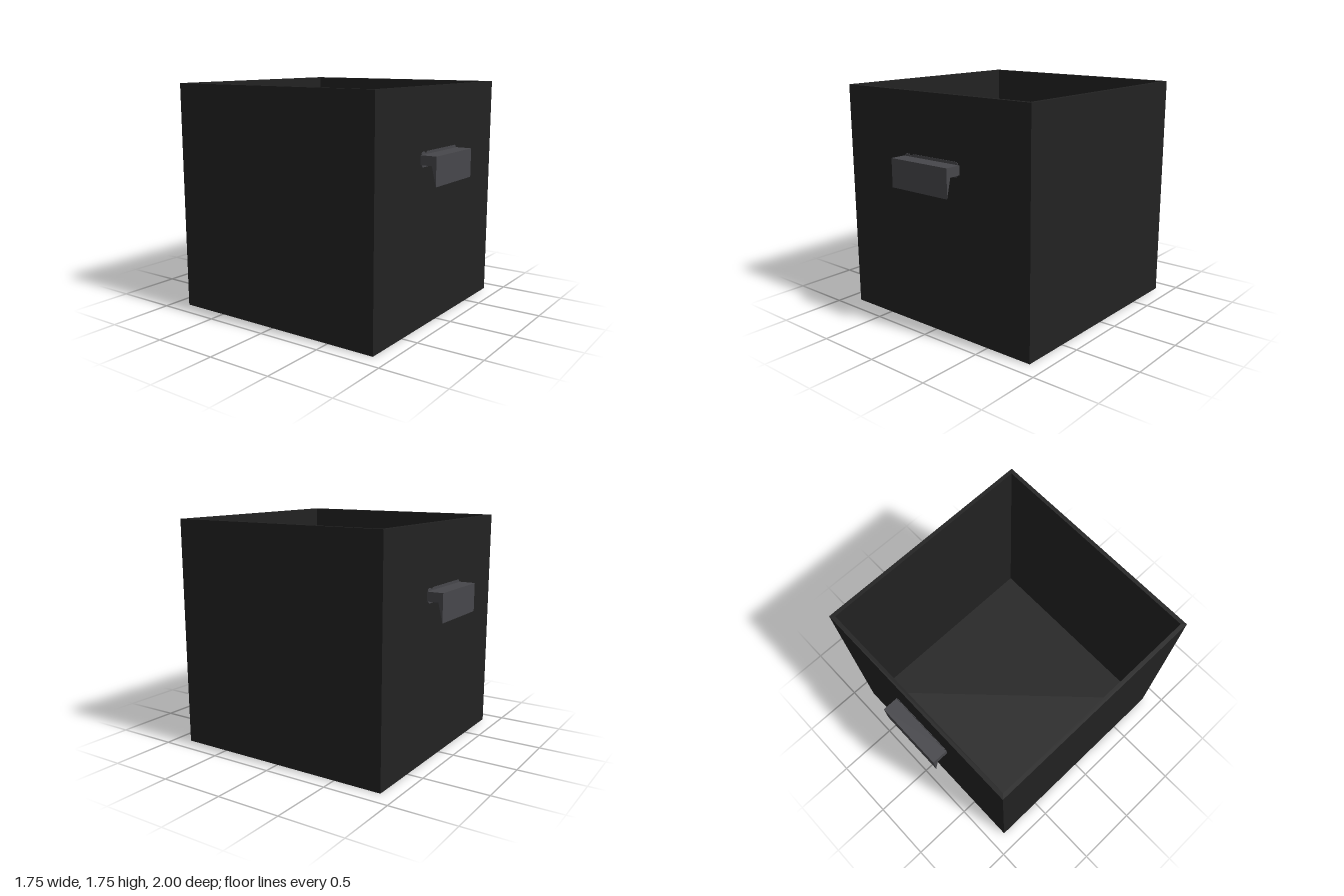
import * as THREE from 'three';

const HALF = 0.875, HEIGHT = 1.755, WALL = 0.03;

function polygon(points) {
  return new THREE.Shape(points.map(([x, y]) => new THREE.Vector2(x, y)));
}

function extrude(shape, depth) {
  return new THREE.ExtrudeGeometry(shape, { depth, bevelEnabled: false });
}

function square(h) {
  return [[-h, -h], [h, -h], [h, h], [-h, h]];
}

export function createModel() {
  const model = new THREE.Group();
  model.name = 'storageBin';

  const binMaterial = new THREE.MeshStandardMaterial({ color: 0x222222 });
  binMaterial.name = 'charcoal';
  const handleMaterial = new THREE.MeshStandardMaterial({ color: 0x47474b });
  handleMaterial.name = 'grey';

  function add(parent, name, geometry, material) {
    const mesh = new THREE.Mesh(geometry, material);
    mesh.name = name;
    parent.add(mesh);
    return mesh;
  }

  // Four walls as one square tube, open at the top
  const ring = polygon(square(HALF));
  ring.holes.push(new THREE.Path(polygon(square(HALF - WALL)).getPoints().reverse()));
  add(model, 'walls', extrude(ring, HEIGHT).rotateX(-Math.PI / 2), binMaterial);

  // Floor closes the tube
  const inner = 2 * (HALF - WALL);
  add(model, 'floor', new THREE.BoxGeometry(inner, WALL, inner), binMaterial).position.y = WALL / 2;

  // Hooked grip: arm out from the wall with a tapering lip, drawn as (z, y)
  const gripWidth = 0.545;
  const grip = extrude(polygon([
    [HALF, 1.21], [0.965, 1.21], [1, 1.065], [1, 1.28], [HALF, 1.28],
  ]), gripWidth).translate(0, 0, -gripWidth / 2).rotateY(-Math.PI / 2);
  // Swing the profile so its z axis points outward
  // Thin backing plate with clipped corners
  const plate = extrude(polygon([
    [-0.245, 1.19], [0.245, 1.19], [0.262, 1.21], [0.262, 1.285], [0.25, 1.3],
    [-0.18, 1.3], [-0.19, 1.29], [-0.21, 1.29], [-0.22, 1.3], [-0.25, 1.3], [-0.262, 1.285], [-0.262, 1.21],
  ]), 0.004).translate(0, 0, HALF);

  for (const [side, angle] of [['front', 0], ['back', Math.PI]]) {
    const handle = new THREE.Group();
    handle.name = side + 'Handle';
    handle.rotation.y = angle;
    handle.position.x = -0.0125;
    add(handle, 'grip', grip, handleMaterial);
    add(handle, 'backingPlate', plate, handleMaterial);
    model.add(handle);
  }
  return model;
}
